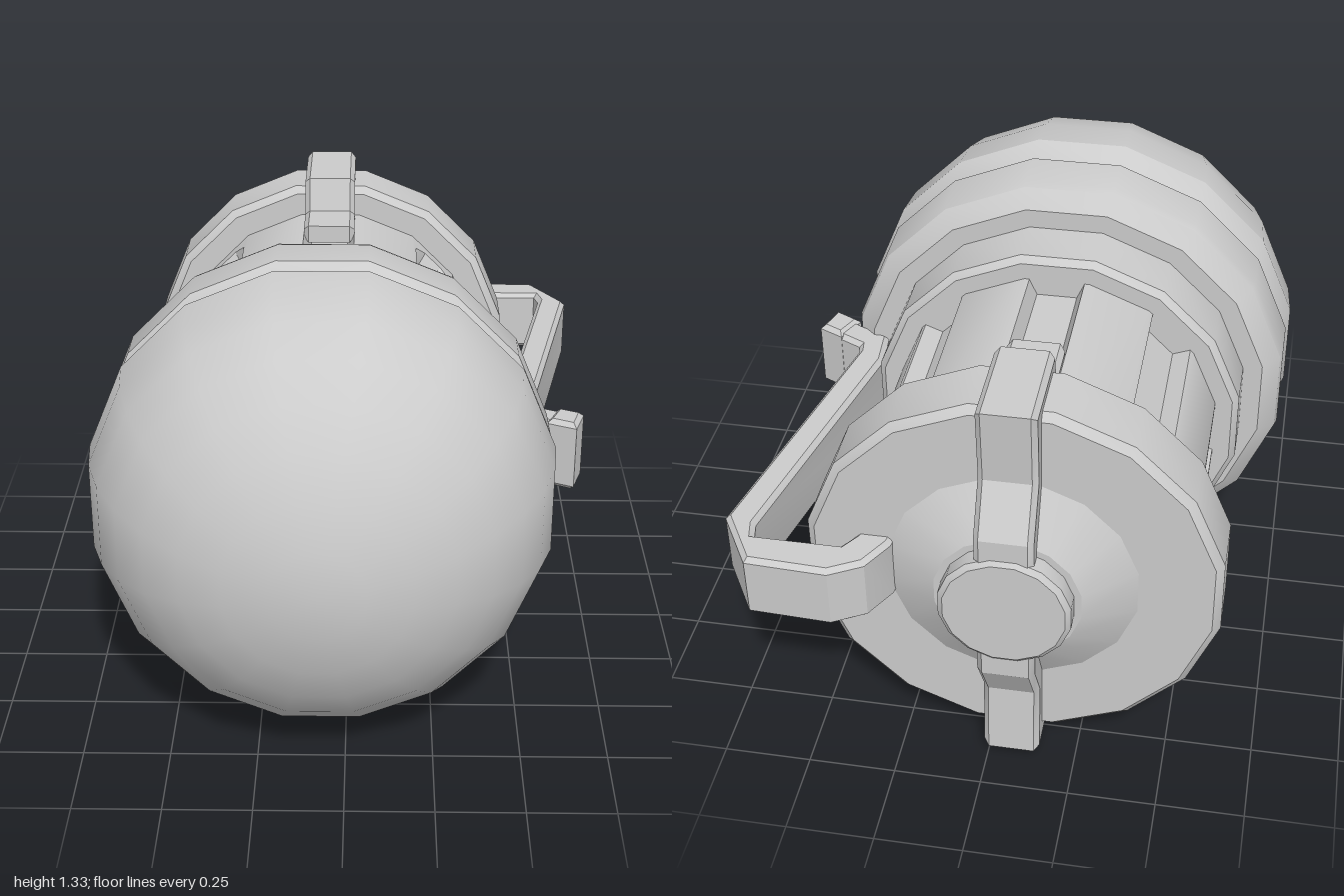
import * as THREE from 'three';
import { mergeGeometries, toCreasedNormals } from 'three/addons/utils/BufferGeometryUtils.js';

const SIDES = 16;
const STEP = Math.PI / SIDES;
const material = new THREE.MeshStandardMaterial({ color: 0xcccccc });

function addMesh(parent, name, geometry) {
  const mesh = new THREE.Mesh(toCreasedNormals(geometry, 0.5), material);
  mesh.name = name;
  parent.add(mesh);
  return mesh;
}

// Sixteen-sided turned part along z; profile is [flat radius, z] from back to front
function turned(profile) {
  const points = profile.map(([r, z]) => new THREE.Vector2(r / Math.cos(STEP), z));
  return new THREE.LatheGeometry(points, SIDES, STEP).rotateX(Math.PI / 2);
}

const toShape = (points) => new THREE.Shape(points.map(([x, y]) => new THREE.Vector2(x, y)));

// Bevelled plate centred on its thickness, keeping the drawn outline
function plate(points, thickness, bevel) {
  return new THREE.ExtrudeGeometry(toShape(points), {
    depth: thickness - 2 * bevel,
    bevelThickness: bevel, bevelSize: bevel, bevelOffset: -bevel, bevelSegments: 1,
  }).translate(0, 0, bevel - thickness / 2);
}

function bare(geometry) {
  const g = geometry.index ? geometry.toNonIndexed() : geometry;
  g.deleteAttribute('uv');
  g.deleteAttribute('normal');
  return g;
}

// Pointed slot outline, counter-clockwise (x across, y towards the back)
const slotOutline = (w, tip) => [
  [-w, 0.09], [w, 0.09], [w, tip - 0.035], [w * 0.45, tip], [-w * 0.45, tip], [-w, tip - 0.035],
];

// One flat of the barrel, optionally with a recessed slot
function barrelFlat(radius, slotted) {
  const half = radius * Math.tan(STEP);
  const face = toShape([[-half, 0.07], [half, 0.07], [half, 0.67], [-half, 0.67]]);
  const pieces = [];
  if (slotted) {
    const rim = slotOutline(0.08, 0.585);
    const floor = slotOutline(0.058, 0.56);
    face.holes.push(new THREE.Path(rim.map(([x, y]) => new THREE.Vector2(x, y))));
    const depth = -0.05;
    const walls = [];
    rim.forEach((a, i) => {
      const j = (i + 1) % rim.length;
      const b = rim[j], fa = floor[i], fb = floor[j];
      walls.push(...a, 0, ...b, 0, ...fb, depth, ...a, 0, ...fb, depth, ...fa, depth);
    });
    const wallGeometry = new THREE.BufferGeometry();
    wallGeometry.setAttribute('position', new THREE.Float32BufferAttribute(walls, 3));
    pieces.push(wallGeometry);
    pieces.push(bare(new THREE.ShapeGeometry(toShape(floor)).translate(0, 0, depth)));
  }
  pieces.push(bare(new THREE.ShapeGeometry(face)));
  return mergeGeometries(pieces).rotateX(-Math.PI / 2).translate(0, radius, 0);
}

export function createModel() {
  const model = new THREE.Group();
  model.name = 'canister';

  // The whole body leans very slightly nose-up
  const body = new THREE.Group();
  body.name = 'body';
  body.position.set(-0.07, 0.66, 0);
  body.rotation.x = -0.018;
  model.add(body);

  // Rounded nose
  const dome = [[0.635, 0.3], [0.665, 0.37]];
  for (let i = 1; i <= 8; i++) {
    const a = (i / 8) * Math.PI / 2;
    dome.push([i === 8 ? 0 : 0.665 * Math.cos(a), 0.37 + 0.625 * Math.sin(a)]);
  }
  addMesh(body, 'dome', turned(dome));

  // Stepped rings behind the nose
  addMesh(body, 'wideRing', turned([
    [0.5, 0.07], [0.6, 0.07], [0.65, 0.115], [0.657, 0.14], [0.657, 0.27], [0.635, 0.3],
  ]));
  addMesh(body, 'narrowRing', turned([
    [0.4, -0.1], [0.525, -0.1], [0.543, -0.08], [0.543, 0.08],
  ]));

  // Barrel with a slot on every second flat
  const flats = [];
  for (let i = 0; i < SIDES; i++) {
    flats.push(barrelFlat(0.475, i % 2 === 0).rotateZ(i * 2 * STEP));
  }
  addMesh(body, 'slottedBarrel', mergeGeometries(flats));

  // Rear collar, shallow cone and button
  addMesh(body, 'collar', turned([
    [0, -0.84], [0.545, -0.84], [0.567, -0.82], [0.567, -0.655], [0.545, -0.635], [0.4, -0.635],
  ]));
  addMesh(body, 'rearCone', turned([[0, -0.92], [0.2, -0.92], [0.35, -0.835]]));
  addMesh(body, 'rearButton', turned([
    [0, -0.98], [0.165, -0.98], [0.18, -0.968], [0.18, -0.9],
  ]));

  // Clips wrapping the collar, above and below: [distance back, radius]
  const clipOutline = [
    [0.44, 0.45], [0.7, 0.45], [0.8, 0.05], [0.97, 0.05], [0.97, 0.24],
    [0.89, 0.38], [0.905, 0.605], [0.615, 0.605], [0.585, 0.505], [0.44, 0.505],
  ];
  for (const [name, turn] of [['upperClip', 0], ['lowerClip', Math.PI]]) {
    const clip = plate(clipOutline, 0.16, 0.015).rotateY(Math.PI / 2).rotateZ(turn);
    addMesh(body, name, clip);
  }

  // Side lever hooked into the rear and ending in a flared foot
  const lever = new THREE.Group();
  lever.name = 'lever';
  lever.position.x = 0.07;
  body.add(lever);
  const arm = [
    [0.25, -0.8], [0.26, -0.86], [0.31, -0.95], [0.4, -1.0], [0.63, -0.99], [0.73, -0.825],
    [0.56, -0.016], [0.565, 0.015], [0.69, 0.075], [0.66, 0.16], [0.485, 0.075], [0.475, -0.05],
    [0.64, -0.84], [0.63, -0.885], [0.39, -0.885], [0.36, -0.84], [0.35, -0.8],
  ];
  const foot = [[0.63, 0.045], [0.705, 0.08], [0.675, 0.175], [0.59, 0.135]];
  const flip = (points) => points.map(([x, z]) => [x, -z]).reverse();
  addMesh(lever, 'leverArm', plate(flip(arm), 0.2, 0.014).rotateX(-Math.PI / 2));
  addMesh(lever, 'leverFoot', plate(flip(foot), 0.22, 0.014).rotateX(-Math.PI / 2));

  return model;
}
